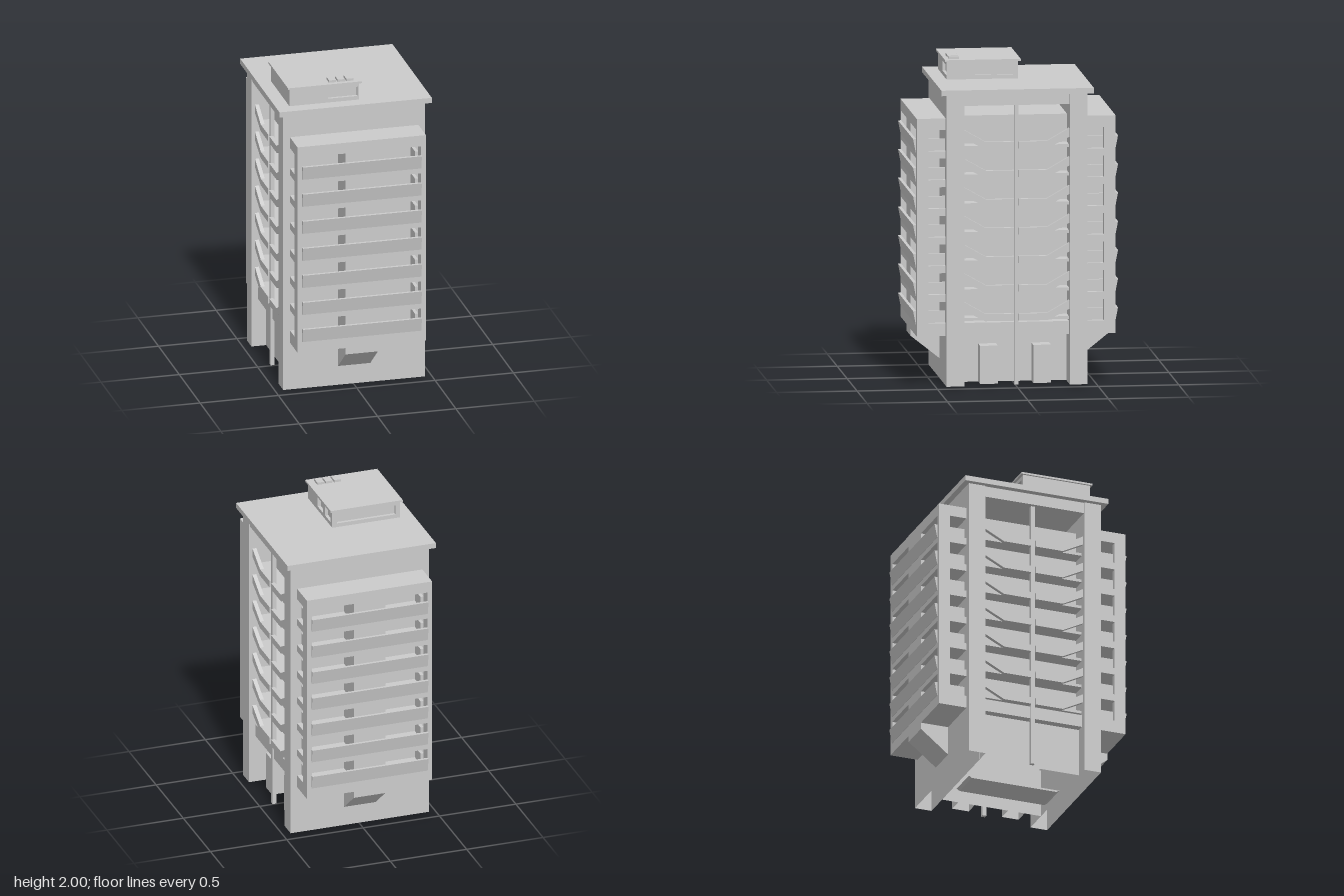
import * as THREE from 'three';

const material = new THREE.MeshStandardMaterial({ color: 0xcccccc, flatShading: true });
const openMaterial = new THREE.MeshStandardMaterial({ color: 0xcccccc, flatShading: true, side: THREE.DoubleSide });
const FLOORS = 7, FIRST = 0.398, STEP = 0.179, OPENING = 0.134;
const floorY = (i) => FIRST + i * STEP;

function add(parent, name, geometry) {
  const mesh = new THREE.Mesh(geometry, material);
  mesh.name = name;
  parent.add(mesh);
  return mesh;
}

// Box given by its limits on each axis
function box(parent, name, x0, x1, y0, y1, z0, z1) {
  const g = new THREE.BoxGeometry(x1 - x0, y1 - y0, z1 - z0);
  g.translate((x0 + x1) / 2, (y0 + y1) / 2, (z0 + z1) / 2);
  return add(parent, name, g);
}

// Hollow box without its underside, and without its top if topless
function shell(parent, name, limits, topless = false) {
  const mesh = box(parent, name, ...limits);
  const index = Array.from(mesh.geometry.index.array);
  mesh.geometry.setIndex([...index.slice(0, topless ? 12 : 18), ...index.slice(24)]);
  mesh.geometry.clearGroups();
  mesh.material = openMaterial;
}

// Outline of [z, y] points extruded from x0 to x1
function prism(parent, name, points, x0, x1) {
  const shape = new THREE.Shape(points.map(([z, y]) => new THREE.Vector2(z, y)));
  const g = new THREE.ExtrudeGeometry(shape, { depth: x1 - x0, bevelEnabled: false });
  g.rotateY(-Math.PI / 2);
  g.translate(x1, 0, 0);
  return add(parent, name, g);
}

// Upright wall with rectangular holes [a0, a1, y0, y1], facing +z
function wall(parent, name, a0, a1, y0, y1, holes, depth) {
  const rect = (T, l, r, b, t) => new T([[l, b], [r, b], [r, t], [l, t]].map((p) => new THREE.Vector2(...p)));
  const shape = rect(THREE.Shape, a0, a1, y0, y1);
  shape.holes = holes.map((h) => rect(THREE.Path, ...h));
  return add(parent, name, new THREE.ExtrudeGeometry(shape, { depth, bevelEnabled: false }));
}

// Front half: end wall plus the projecting balcony block
function endBlock() {
  const g = new THREE.Group();
  g.name = 'balconyEnd';
  shell(g, 'endWall', [-0.453, 0.453, 0.008, 1.828, 0.328, 0.438]);
  prism(g, 'centralColumn', [[0.438, 0.132], [0.618, 0.276], [0.618, 1.677], [0.438, 1.677]], -0.103, 0.103);
  for (let i = 0; i <= FLOORS; i++) {
    const y0 = i === 0 ? 0.318 : floorY(i - 1) + OPENING;
    const y1 = i === FLOORS ? 1.677 : floorY(i);
    box(g, 'balconyFloor', -0.41, 0.41, y0, y1, 0.438, 0.618);
  }
  for (const s of [-1, 1]) {
    const x0 = s > 0 ? 0.378 : -0.41;
    box(g, 'cornerPillar', x0, x0 + 0.032, 0.318, 1.677, 0.545, 0.618);
    // Low rails set back inside the side openings
    const r = s > 0 ? 0.36 : -0.38;
    for (let i = 0; i < FLOORS; i++) {
      box(g, 'sideRail', r, r + 0.02, floorY(i), floorY(i) + 0.073, 0.438, 0.545);
    }
  }
  // Parapets leaning outwards
  for (let i = 0; i < FLOORS; i++) {
    const y = floorY(i);
    prism(g, 'parapet', [[0.605, y - 0.012], [0.62, y - 0.012], [0.637, y + 0.075], [0.618, y + 0.075]], -0.38, 0.38);
  }
  return g;
}

// Side galleries, built for the +x side
function gallery() {
  const g = new THREE.Group();
  g.name = 'sideGallery';
  box(g, 'centrePost', 0.395, 0.42, 0.008, 1.765, -0.013, 0.013);
  box(g, 'firstFloorBeam', 0.3, 0.41, 0.318, 0.398, -0.33, 0.33);
  for (let i = 0; i < FLOORS; i++) {
    const y = floorY(i);
    box(g, 'galleryFloor', 0.3, 0.406, y + 0.012, y + 0.03, -0.33, 0.33);
    for (const s of [-1, 1]) {
      const rail = [[0.33, 0.135], [0.19, 0.055], [0.015, 0.055], [0.015, 0.011], [0.195, 0.011], [0.33, 0.08]];
      prism(g, 'galleryRail', rail.map(([z, h]) => [s * z, y + h]), 0.405, 0.43);
    }
  }
  return g;
}

function penthouse() {
  const g = new THREE.Group();
  g.name = 'penthouse';
  const [y0, y1, t] = [1.86, 1.973, 0.02];
  const [lo, hi] = [1.887, 1.948];
  box(g, 'glazing', -0.38, 0.024, y0, y1, -0.037, 0.368);
  wall(g, 'frontWall', -0.4, 0.045, y0, y1, [[-0.155, 0.034, lo, hi]], t).position.z = 0.367;
  wall(g, 'backWall', -0.4, 0.045, y0, y1, [[-0.37, 0.015, lo, hi]], t).position.z = -0.057;
  const right = wall(g, 'windowWall', -0.367, 0.037, y0, y1, [[-0.21, -0.11, lo, hi], [-0.073, 0.027, lo, hi]], t);
  right.rotation.y = Math.PI / 2;
  right.position.x = 0.025;
  box(g, 'plainWall', -0.4, -0.38, y0, y1, -0.037, 0.367);
  box(g, 'penthouseRoof', -0.412, 0.06, y1, 1.985, -0.072, 0.398);
  for (let i = 0; i < 3; i++) {
    const x = -0.142 + i * 0.055;
    box(g, 'roofVent', x, x + 0.045, 1.985, 2, 0.305, 0.37);
  }
  return g;
}

export function createModel() {
  const model = new THREE.Group();
  model.name = 'apartmentTower';

  const front = endBlock();
  const back = endBlock();
  back.rotation.y = Math.PI;
  model.add(front, back);

  const sideA = gallery();
  const sideB = gallery();
  sideB.rotation.y = Math.PI;
  model.add(sideA, sideB);

  // Hollow core, ground floor and entrances
  shell(model, 'core', [-0.31, 0.31, 0.318, 1.677, -0.33, 0.33]);
  shell(model, 'groundCore', [-0.36, 0.28, 0.01, 0.32, -0.33, 0.33], true);
  prism(model, 'groundPassage', [[-0.28, 0], [0.28, 0], [0.3, 0.012], [-0.3, 0.012]], -0.103, 0.103);
  for (const z of [-0.165, 0.165]) shell(model, 'entrancePorch', [0.28, 0.38, 0.01, 0.248, z - 0.055, z + 0.055]);

  // Roof
  box(model, 'topBeam', -0.445, 0.445, 1.758, 1.828, -0.33, 0.33);
  box(model, 'roofSlab', -0.486, 0.486, 1.828, 1.862, -0.474, 0.474);
  model.add(penthouse());
  return model;
}
